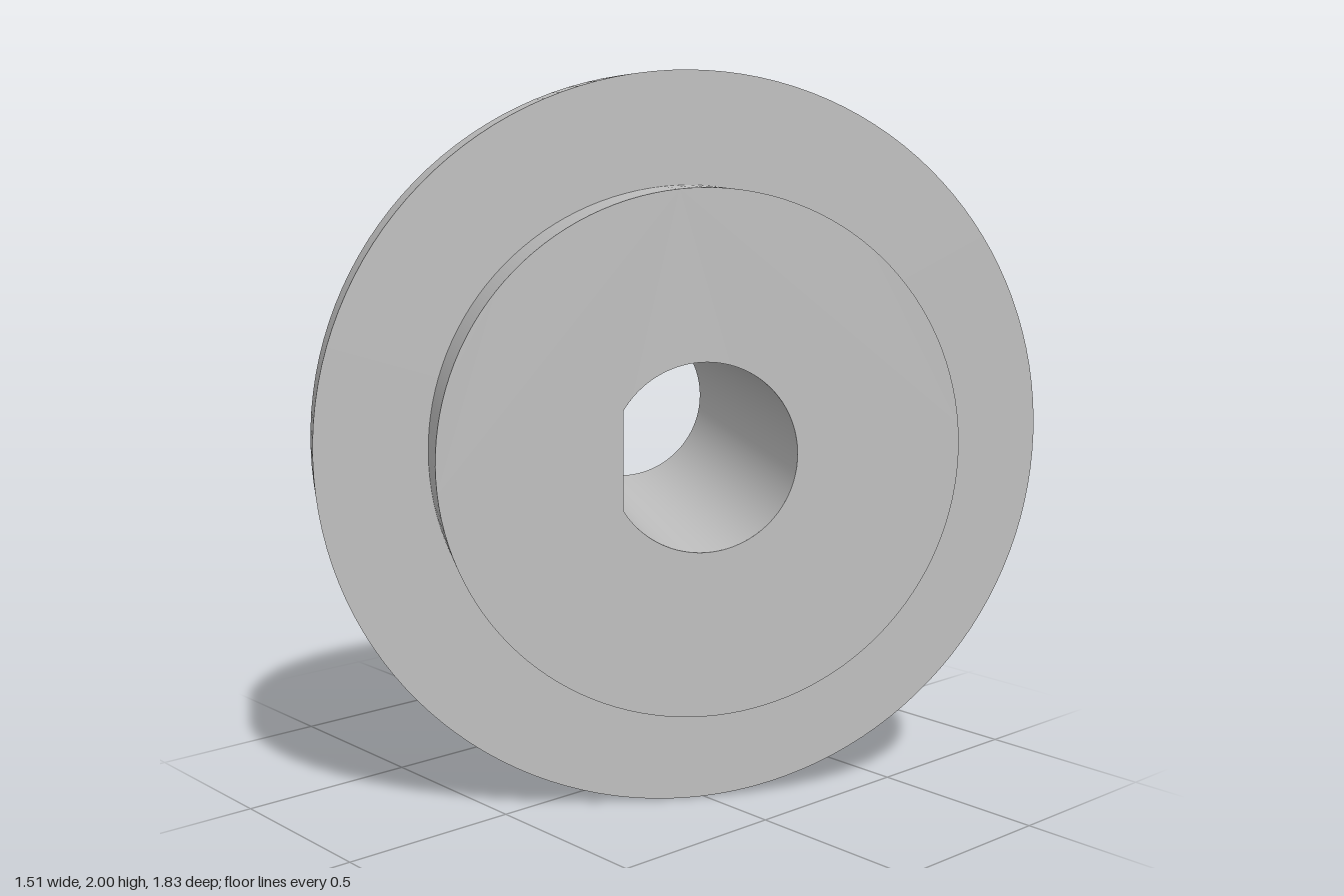
import * as THREE from 'three';

export function createModel() {
  const metal = new THREE.MeshStandardMaterial({ color: 0xc0c0c0, side: THREE.DoubleSide });
  metal.name = 'grey metal';

  // Steps along the local z axis: [name, radius, back, front]
  const steps = [
    ['hub', 0.4, -0.688, -0.19],
    ['backShoulder', 0.7, -0.19, 0.03],
    ['flange', 1, 0.03, 0.226],
    ['frontShoulder', 0.7, 0.226, 0.425],
  ];
  const back = steps[0][2], front = steps[3][3], length = front - back, middle = (front + back) / 2;
  const boreRadius = 0.252, flatDistance = 0.215;
  const flatAngle = Math.acos(flatDistance / boreRadius);

  const body = new THREE.Group();
  body.name = 'steppedWheel';
  const add = (name, geometry, x, z) => {
    const mesh = new THREE.Mesh(geometry, metal);
    mesh.name = name;
    mesh.position.set(x, 0, z);
    body.add(mesh);
  };

  // Outer rims and the ring faces between neighbouring steps
  steps.forEach(([name, radius, z0, z1], i) => {
    add(name + 'Rim', new THREE.CylinderGeometry(radius, radius, z1 - z0, 128, 1, true).rotateX(Math.PI / 2), 0, (z0 + z1) / 2);
    if (i === 0) return;
    const previous = steps[i - 1][1];
    const ring = new THREE.RingGeometry(Math.min(previous, radius), Math.max(previous, radius), 128);
    if (radius > previous) ring.rotateX(Math.PI);
    add(name + 'Step', ring, 0, z0);
  });

  // End faces with the D-shaped opening
  const endFace = (radius) => {
    const shape = new THREE.Shape().absarc(0, 0, radius, 0, Math.PI * 2, false);
    const hole = new THREE.Path().absarc(0, 0, boreRadius, flatAngle - Math.PI, Math.PI - flatAngle, false);
    hole.closePath();
    shape.holes.push(hole);
    return new THREE.ShapeGeometry(shape, 64);
  };
  add('frontFace', endFace(0.7), 0, front);
  add('hubFace', endFace(0.4).rotateX(Math.PI), 0, back);

  // Bore through the whole part: round wall and flat wall
  add('boreWall', new THREE.CylinderGeometry(boreRadius, boreRadius, length, 96, 1, true,
    flatAngle - Math.PI / 2, Math.PI * 2 - 2 * flatAngle).rotateX(Math.PI / 2), 0, middle);
  add('boreFlat', new THREE.PlaneGeometry(length, 2 * boreRadius * Math.sin(flatAngle)).rotateY(Math.PI / 2),
    -flatDistance, middle);

  // Turn the axis 60 degrees from the front and stand the rim on the ground
  body.rotation.y = Math.PI / 3;
  body.position.set(0.0385, 1, -0.0667);
  const model = new THREE.Group();
  model.name = 'flangedHub';
  model.add(body);
  return model;
}
